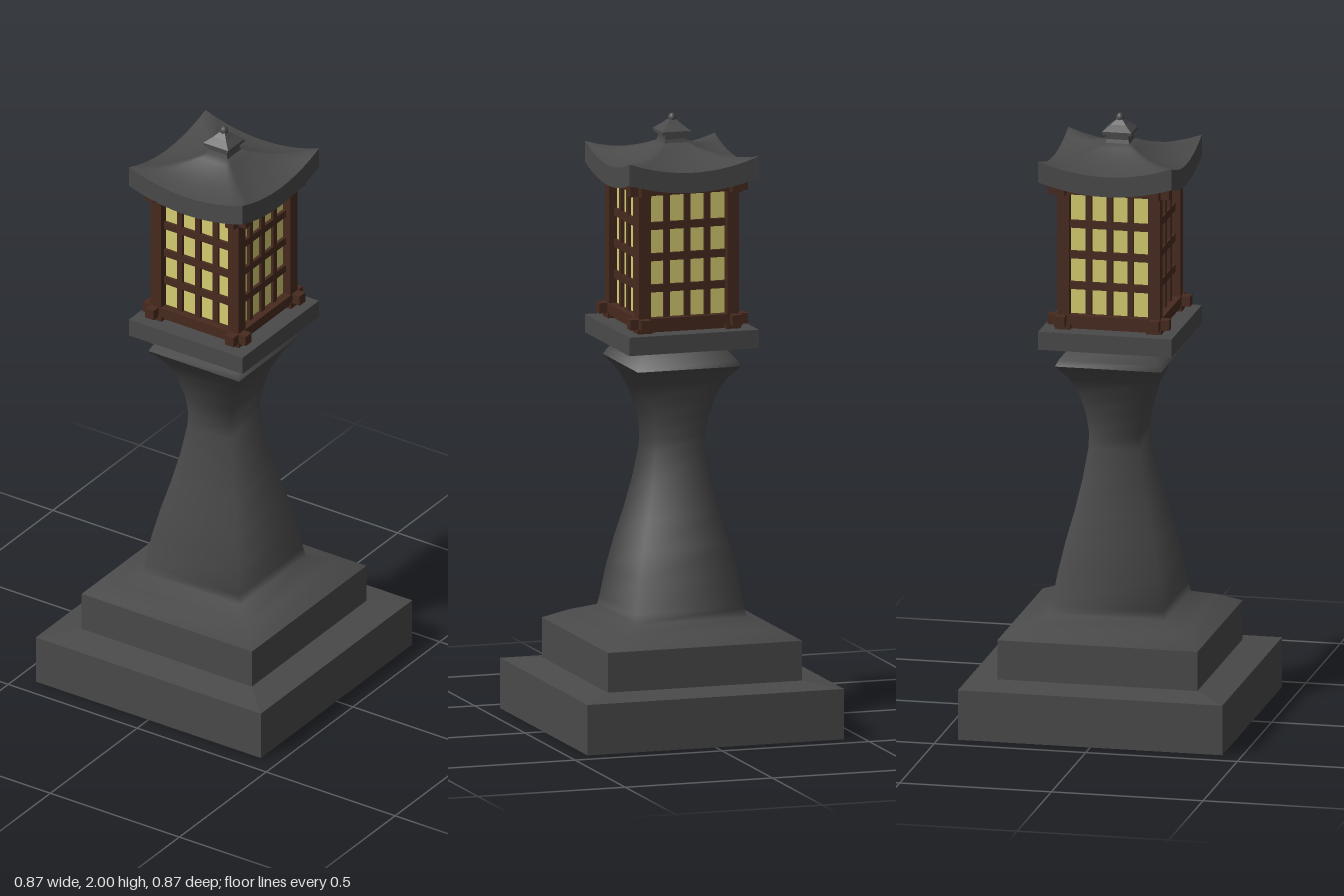
import * as THREE from 'three';

// Square cross-sections [half width, y, corner lift], stacked into a skin.
function squareLoft(rings, n = 1, smooth = true) {
  const corners = [[1, 1], [1, -1], [-1, -1], [-1, 1]];
  const pos = [], index = [], count = 4 * n;
  for (const [r, y, lift = 0] of rings) {
    for (let k = 0; k < count; k++) {
      const a = corners[Math.floor(k / n)], b = corners[(Math.floor(k / n) + 1) % 4];
      const t = (k % n) / n, u = 2 * t - 1;
      pos.push(r * (a[0] + (b[0] - a[0]) * t), y + lift * u * u, r * (a[1] + (b[1] - a[1]) * t));
    }
  }
  for (let i = 0; i < rings.length - 1; i++) {
    for (let k = 0; k < count; k++) {
      const a = i * count + k, b = i * count + (k + 1) % count;
      index.push(a, b, b + count, a, b + count, a + count);
    }
  }
  let geo = new THREE.BufferGeometry();
  geo.setAttribute('position', new THREE.Float32BufferAttribute(pos, 3));
  geo.setIndex(index);
  if (!smooth) geo = geo.toNonIndexed();
  geo.computeVertexNormals();
  return geo;
}

export function createModel() {
  const model = new THREE.Group();
  model.name = 'stoneLantern';
  const stone = new THREE.MeshStandardMaterial({ color: 0x4a4a4a, side: THREE.DoubleSide });
  const wood = new THREE.MeshStandardMaterial({ color: 0x472a1e });
  const paper = new THREE.MeshStandardMaterial({ color: 0xd8cf72 });
  stone.name = 'darkStone';
  wood.name = 'brownWood';
  paper.name = 'yellowPaper';

  const add = (name, geo, mat, parent = model) => {
    const mesh = new THREE.Mesh(geo, mat);
    mesh.name = name;
    parent.add(mesh);
    return mesh;
  };
  const box = (name, size, at, mat, parent) =>
    add(name, new THREE.BoxGeometry(...size), mat, parent).position.set(...at);

  // Stepped plinth, open underneath
  add('plinth', squareLoft([[0.436, 0], [0.436, 0.165], [0.33, 0.18], [0.33, 0.31]], 1, false), stone);

  // Waisted pillar, flaring out of the plinth
  add('pillar', squareLoft([
    [0.33, 0.31], [0.26, 0.345], [0.19, 0.37], [0.184, 0.4], [0.168, 0.5], [0.147, 0.6],
    [0.122, 0.7], [0.101, 0.8], [0.085, 0.9], [0.083, 0.95], [0.09, 1.01], [0.108, 1.08],
    [0.135, 1.14], [0.175, 1.19],
  ]), stone);
  add('pillarLip', squareLoft([[0.175, 1.19], [0.165, 1.21], [0.13, 1.25], [0.13, 1.26]]), stone);
  box('slab', [0.44, 0.06, 0.44], [0, 1.285, 0], stone);

  // Glowing paper box
  box('paperPanes', [0.284, 0.46, 0.284], [0, 1.56, 0], paper);

  // One wooden lattice wall, repeated on the four sides
  for (let side = 0; side < 4; side++) {
    const wall = new THREE.Group();
    wall.name = 'latticeWall';
    wall.rotation.y = side * Math.PI / 2;
    model.add(wall);
    box('cornerPost', [0.04, 0.48, 0.04], [0.15, 1.555, 0.15], wood, wall);
    box('postFoot', [0.05, 0.02, 0.05], [0.15, 1.325, 0.15], wood, wall);
    box('bottomRail', [0.4, 0.034, 0.034], [0, 1.346, 0.155], wood, wall);
    box('topRail', [0.4, 0.034, 0.034], [0, 1.782, 0.155], wood, wall);
    box('sill', [0.28, 0.02, 0.02], [0, 1.325, 0.145], wood, wall);
    for (let i = -1; i <= 1; i++) {
      box('uprightBar', [0.02, 0.42, 0.014], [i * 0.069, 1.56, 0.146], wood, wall);
      box('crossBar', [0.27, 0.025, 0.014], [0, 1.56 + i * 0.102, 0.146], wood, wall);
    }
  }

  // Roof with upswept corners: top skin, fascia and underside
  add('roofTop', squareLoft([
    [0.22, 1.842, 0.04], [0.19, 1.846, 0.03], [0.155, 1.854, 0.02], [0.12, 1.866, 0.012],
    [0.085, 1.882, 0.006], [0.06, 1.896, 0.002], [0.04, 1.908], [0, 1.912],
  ], 10), stone);
  add('roofFascia', squareLoft([[0.22, 1.776, 0.036], [0.22, 1.842, 0.04]], 10, false), stone);
  add('roofUnderside', squareLoft([[0, 1.8], [0.14, 1.795, 0.008], [0.18, 1.785, 0.02], [0.22, 1.776, 0.036]], 10), stone);

  // Finial: neck, small cap and knob
  add('finialNeck', squareLoft([[0.042, 1.9], [0.036, 1.92], [0.036, 1.936]], 1, false), stone);
  add('finialCap', squareLoft([[0.03, 1.936], [0.048, 1.936], [0.048, 1.946], [0.025, 1.965], [0.01, 1.98]], 1, false), stone);
  const knob = add('finialKnob', new THREE.SphereGeometry(0.013, 12, 8), stone);
  knob.position.y = 1.983;
  knob.scale.y = 1.3;

  return model;
}
